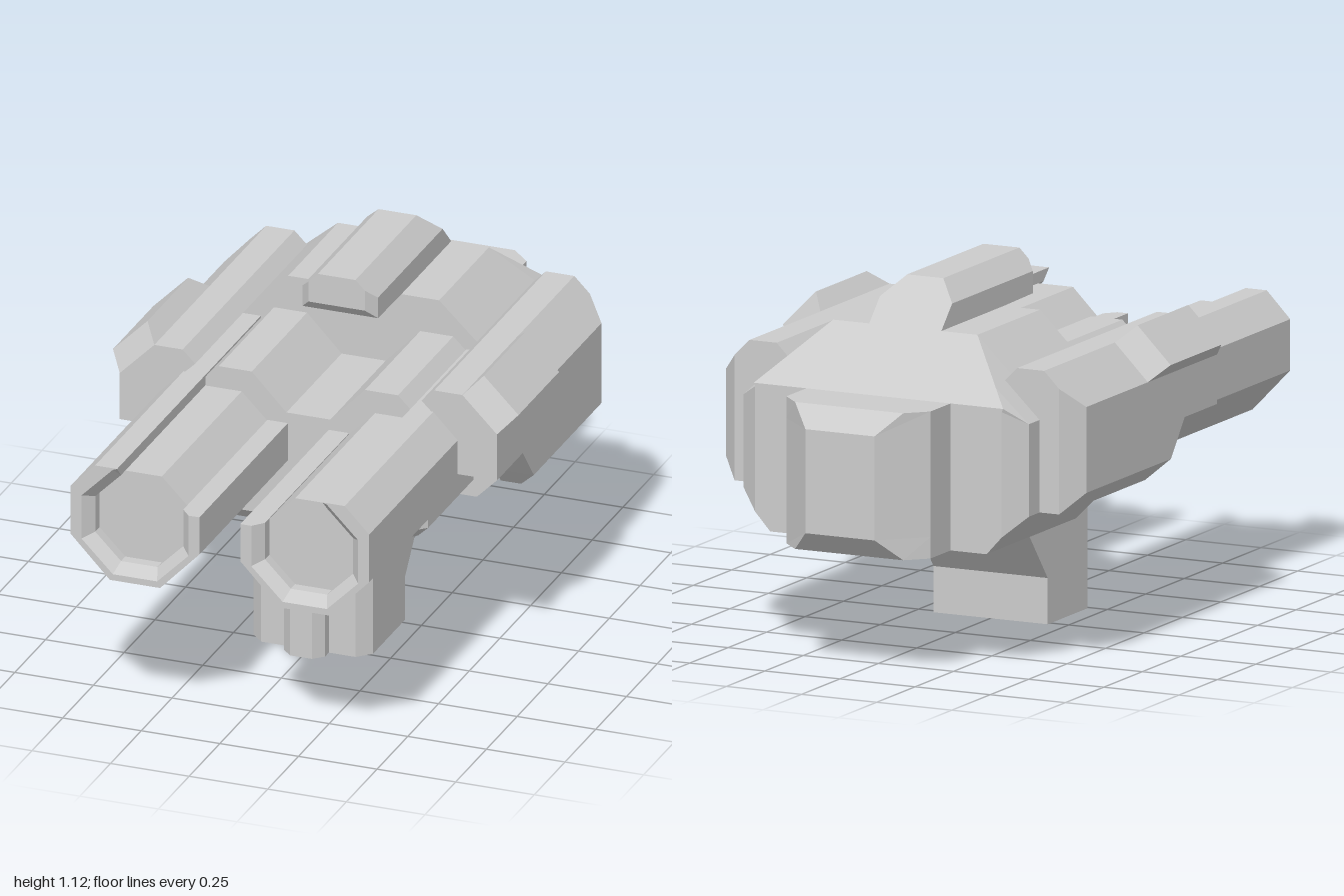
import * as THREE from 'three';

const material = new THREE.MeshStandardMaterial({ color: 0xcccccc, flatShading: true });

// Joins a row of equal-length outlines into a closed, flat-shaded solid.
// Each section is { at, pts }; pts lie in xy along 'z', or in xz along 'y'.
function loft(sections, axis = 'z') {
  const place = ([a, b], t) => (axis === 'z' ? [a, b, t] : [a, t, b]);
  const rings = sections.map(s => s.pts.map(p => place(p, s.at)));
  const n = rings[0].length;
  const tris = [];
  for (let k = 0; k + 1 < rings.length; k++) {
    for (let i = 0; i < n; i++) {
      const j = (i + 1) % n, a = rings[k], b = rings[k + 1];
      tris.push([a[i], a[j], b[j]], [a[i], b[j], b[i]]);
    }
  }
  const cap = (k, reversed) => {
    const flat = sections[k].pts.map(p => new THREE.Vector2(...p));
    const sign = Math.sign(THREE.ShapeUtils.area(flat)) * (reversed ? -1 : 1);
    for (const f of THREE.ShapeUtils.triangulateShape(flat, [])) {
      const same = THREE.ShapeUtils.area(f.map(i => flat[i])) * sign > 0;
      const t = f.map(i => rings[k][i]);
      tris.push(same ? t : t.reverse());
    }
  };
  cap(0, true);
  cap(sections.length - 1, false);
  // A negative volume means the corners run the wrong way round
  const v = p => new THREE.Vector3(...p);
  const volume = tris.reduce((s, [a, b, c]) => s + v(a).dot(v(b).cross(v(c))), 0);
  if (volume < 0) tris.forEach(t => t.reverse());
  const geometry = new THREE.BufferGeometry();
  geometry.setAttribute('position', new THREE.Float32BufferAttribute(tris.flat(2), 3));
  geometry.computeVertexNormals();
  return geometry;
}

const mirror = pts => pts.map(([x, y]) => [-x, y]);
// Right half of an outline, completed by its mirror image
const whole = half => [...half, ...mirror(half).reverse()];
const sym = list => list.map(([at, ...half]) => ({ at, pts: whole(half) }));

export function createModel() {
  const model = new THREE.Group();
  const add = (name, sections, axis) => {
    const mesh = new THREE.Mesh(loft(sections, axis), material);
    mesh.name = name;
    model.add(mesh);
  };
  const addPair = (name, sections) => {
    add(name + 'Left', sections);
    add(name + 'Right', sections.map(s => ({ at: s.at, pts: mirror(s.pts) })));
  };

  // Main body with a sloping rear top and chamfered rear corners
  const bodySection = (z, top, w) => [z, [0.24 + 0.985 - top, top],
    [w, w < 0.45 ? 0.80 : 0.76], [w, w < 0.45 ? 0.42 : 0.48], [0.36, 0.365]];
  add('body', sym([
    bodySection(-0.17, 0.985, 0.475),
    bodySection(-0.575, 0.985, 0.475),
    bodySection(-0.70, 0.86, 0.475),
    bodySection(-0.75, 0.81, 0.41),
  ]));

  // Rear block, chamfered in plan, with bevelled upper and lower back edges
  const rear = back => [[0.24, -0.70], [0.24, -0.88], back < -0.95 ? [0.115, -1] : [0.18, -0.94]];
  add('rearBlock', sym([
    [0.365, ...rear(-0.94)], [0.43, ...rear(-1)],
    [0.745, ...rear(-1)], [0.81, ...rear(-0.94)],
  ]), 'y');

  // Raised top rail overhanging the front of the body
  const rail = (z, w, bottom, shoulder, topW, top) =>
    [z, [w, bottom], [w, shoulder], [topW, top]];
  add('topRail', sym([
    rail(0.05, 0.09, 1.02, 1.085, 0.06, 1.115),
    rail(0.02, 0.12, 0.988, 1.055, 0.06, 1.115),
    rail(-0.17, 0.12, 0.985, 1.055, 0.06, 1.115),
    rail(-0.445, 0.12, 0.98, 1.055, 0.06, 1.115),
    rail(-0.505, 0.12, 0.98, 1.055, 0.12, 1.055),
    rail(-0.58, 0.12, 0.979, 0.98, 0.12, 0.98),
  ]));

  // Sleeve joining both barrels to the body
  const sleeve = [[0.07, 0.76], [0.18, 0.875], [0.285, 0.875], [0.475, 0.69],
    [0.475, 0.605], [0.35, 0.475]];
  add('barrelSleeve', sym([[-0.2, ...sleeve], [0.28, ...sleeve]]));

  // Barrel shells, open on the upper inner side, with a bevelled mouth
  const cx = 0.27, cy = 0.665, t = Math.tan(Math.PI / 8);
  const shell = (z, a) => {
    const h = a * t;
    return { at: z, pts: [
      [0.327, 0.84], [0.397, 0.84], [0.475, 0.76], [0.475, 0.605], [0.35, 0.475],
      [0.19, 0.475], [0.065, 0.605], [0.065, 0.726],
      [cx - a, 0.726], [cx - a, cy - h], [cx - h, cy - a], [cx + h, cy - a],
      [cx + a, cy - h], [cx + a, cy + h], [cx + h, cy + a],
    ] };
  };
  addPair('barrelShell', [shell(-0.18, 0.14), shell(0.965, 0.14), shell(1, 0.17)]);

  // Eight-sided barrel cores set back inside the shells
  const core = Array.from({ length: 8 }, (_, i) => {
    const angle = (i + 0.5) * Math.PI / 4, r = 0.14 / Math.cos(Math.PI / 8);
    return [cx + r * Math.cos(angle), cy + r * Math.sin(angle)];
  });
  addPair('barrelCore', [{ at: -0.18, pts: core }, { at: 0.93, pts: core }]);

  // Side pods, cut away below at the front and chamfered at the back
  const pod = (z, outer, inner, back) => ({ at: z, pts: [
    [0.36, 0.87], [0.40, 0.91], [0.49, 0.91],
    back ? [0.54, 0.86] : [0.60, 0.80], [back ? 0.54 : 0.60, outer],
    [0.54, inner], [0.475, inner], [0.475, 0.76],
  ] });
  addPair('sidePod', [
    pod(0.28, 0.65, 0.65), pod(0.07, 0.65, 0.65), pod(-0.02, 0.54, 0.54),
    pod(-0.07, 0.54, 0.48), pod(-0.57, 0.54, 0.48), pod(-0.63, 0.48, 0.48, true),
  ]);

  // Slanted bars on the pods, bevelled towards their outer face at both ends
  const bar = (z, d) => ({ at: z, pts: [
    [0.48, 0.90], [0.49 + d, 0.91 + d], [0.60 + d, 0.80 + d], [0.59, 0.79],
  ] });
  addPair('podBar', [bar(0.28, 0), bar(0.22, 0.045), bar(-0.11, 0.045), bar(-0.17, 0)]);

  // Mounting block beneath the barrels
  const mount = (y, d) => [y, [0.35 - d, -0.18], [0.35 - d, 0.20 - d / 2],
    [0.27 - d / 2, 0.28 - d]];
  add('gripMount', sym([mount(0.38, 0.04), mount(0.42, 0), mount(0.48, 0)]), 'y');

  // Grip whose back flares rearwards near the top
  const grip = (y, back) => [y, [0.19, back], [0.19, 0.24], [0.15, 0.28]];
  add('grip', sym([grip(0, -0.02), grip(0.14, -0.02), grip(0.32, -0.165),
    grip(0.42, -0.165)]), 'y');

  // Ridge on the front of the grip
  add('gripRidge', sym([
    [0, [0.065, 0.26], [0.065, 0.31], [0.035, 0.34]],
    [0.356, [0.065, 0.26], [0.065, 0.31], [0.035, 0.34]],
    [0.387, [0.065, 0.26], [0.065, 0.31], [0.05, 0.31]],
    [0.42, [0.065, 0.26], [0.065, 0.28], [0.06, 0.28]],
  ]), 'y');

  return model;
}
